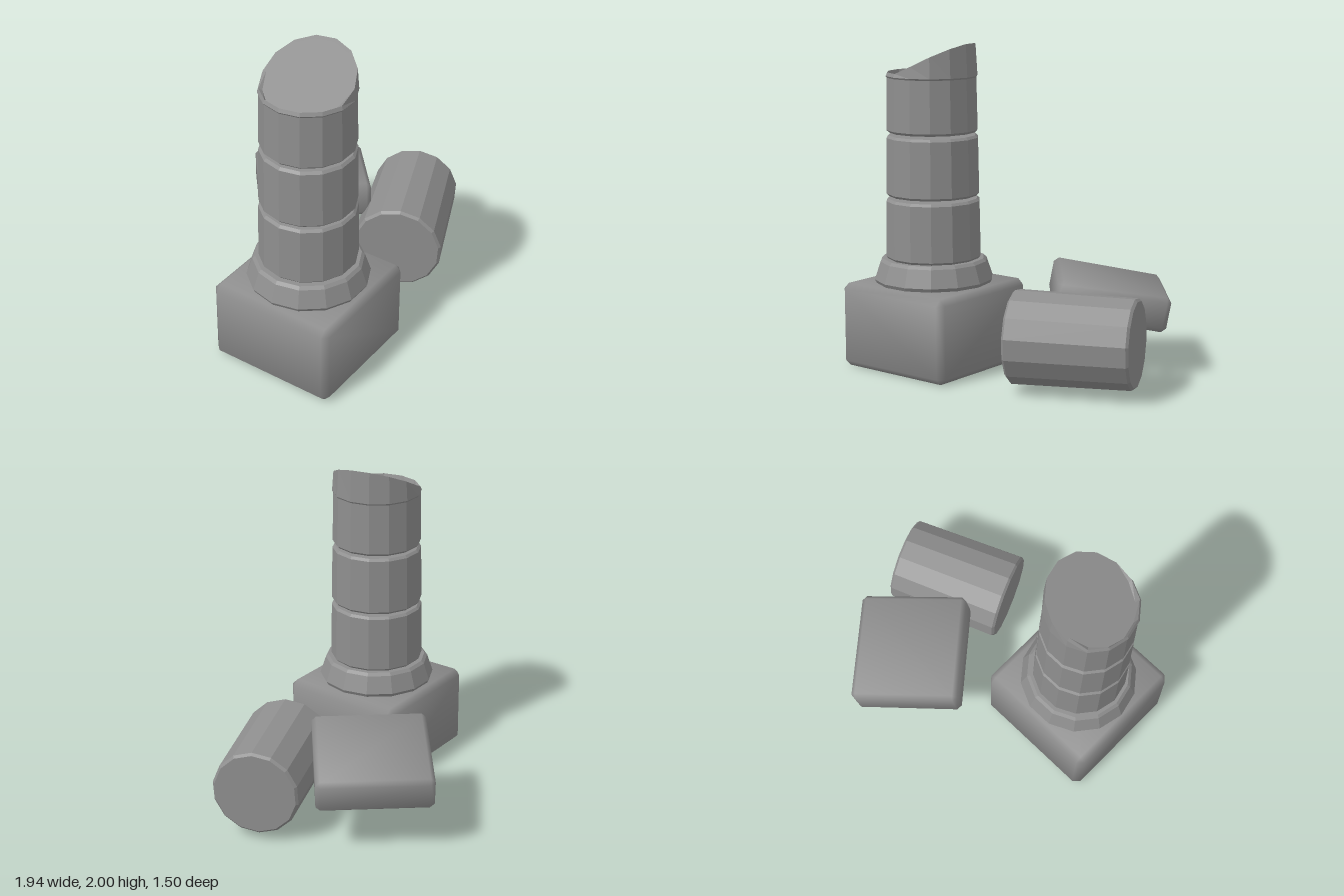
import * as THREE from 'three';
import { ConvexGeometry } from 'three/addons/geometries/ConvexGeometry.js';

const SIDES = 14;
const COLUMN_X = -0.56, COLUMN_Z = 0.337;
const STONE = 0x8e8e8e;

export function createModel() {
  const model = new THREE.Group();
  model.name = 'ruinedColumn';
  const facetedStone = new THREE.MeshStandardMaterial({ color: STONE, flatShading: true });
  const softStone = new THREE.MeshStandardMaterial({ color: STONE });

  const add = (name, geometry, material, parent = model) => {
    const mesh = new THREE.Mesh(geometry, material);
    mesh.name = name;
    parent.add(mesh);
    return mesh;
  };

  // Box with all edges chamfered by c, its normals leaning outwards at the corners
  const chamferBox = (w, h, d, c) => {
    const half = [w / 2, h / 2, d / 2];
    const points = [];
    for (const sx of [-1, 1]) for (const sy of [-1, 1]) for (const sz of [-1, 1]) {
      for (let axis = 0; axis < 3; axis++) {
        const [x, y, z] = half.map((v, i) => (i === axis ? v : v - c));
        points.push(new THREE.Vector3(sx * x, sy * y, sz * z));
      }
    }
    const geometry = new ConvexGeometry(points);
    const { position, normal } = geometry.attributes;
    const n = new THREE.Vector3();
    for (let i = 0; i < position.count; i++) {
      n.fromBufferAttribute(position, i);
      n.fromArray(n.toArray().map((v, k) => Math.sign(v) * (Math.abs(v) > half[k] - c / 2 ? 1 : 0.35)));
      n.normalize();
      normal.setXYZ(i, n.x, n.y, n.z);
    }
    return geometry;
  };

  // Faceted turned shape with corners on the x axis
  const turned = (profile) => new THREE.LatheGeometry(
    profile.map(([r, y]) => new THREE.Vector2(r, y)), SIDES).rotateY(Math.PI / 2);

  // Slightly tapered drum with bevelled rims
  const drum = (y0, y1, r0, r1, b = 0.015) => turned([
    [0, y0], [r0 - b, y0], [r0, y0 + b], [r1, y1 - b], [r1 - b, y1], [0, y1],
  ]);

  // Standing column
  const column = new THREE.Group();
  column.name = 'standingColumn';
  column.position.set(COLUMN_X, 0, COLUMN_Z);
  model.add(column);

  add('plinth', chamferBox(0.82, 0.522, 0.82, 0.038), softStone, column).position.y = 0.261;
  add('baseRing', turned([
    [0, 0.526], [0.358, 0.526], [0.37, 0.548], [0.333, 0.658], [0.315, 0.675], [0, 0.675],
  ]), facetedStone, column);
  add('lowerDrum', drum(0.675, 1.048, 0.296, 0.291), facetedStone, column);
  add('middleDrum', drum(1.066, 1.438, 0.289, 0.284), facetedStone, column);

  // Broken top drum: a flared rim, then a slanted break rising to +x
  const profile = [
    [0, 1.456], [0.267, 1.456], [0.282, 1.471], [0.276, 1.79], [0.283, 1.8],
    [0.273, 1.825], [0.252, 1.825], [0, 1.825],
  ];
  const broken = turned(profile);
  const pos = broken.attributes.position;
  for (let i = 0; i < pos.count; i++) {
    const ring = i % profile.length;
    if (ring < 5) continue;
    const slant = 1.867 + 0.487 * pos.getX(i) - 0.1 * pos.getZ(i);
    pos.setY(i, ring === 5 ? Math.max(1.822, slant) : slant);
  }
  add('brokenDrum', broken, facetedStone, column);

  // Fallen drum lying on its side
  const fallen = add('fallenDrum', drum(-0.372, 0.372, 0.282, 0.27), facetedStone);
  fallen.position.set(0.532, 0.315, 0.34);
  fallen.quaternion.setFromUnitVectors(
    new THREE.Vector3(0, 1, 0), new THREE.Vector3(0.925, 0, -0.38).normalize());

  // Fallen square slab, tipped down towards the back left
  const slab = add('fallenSlab', chamferBox(0.69, 0.215, 0.705, 0.028), softStone);
  slab.position.set(0.335, 0.452, -0.272);
  slab.rotation.set(0, 0.69, -0.185);

  return model;
}
